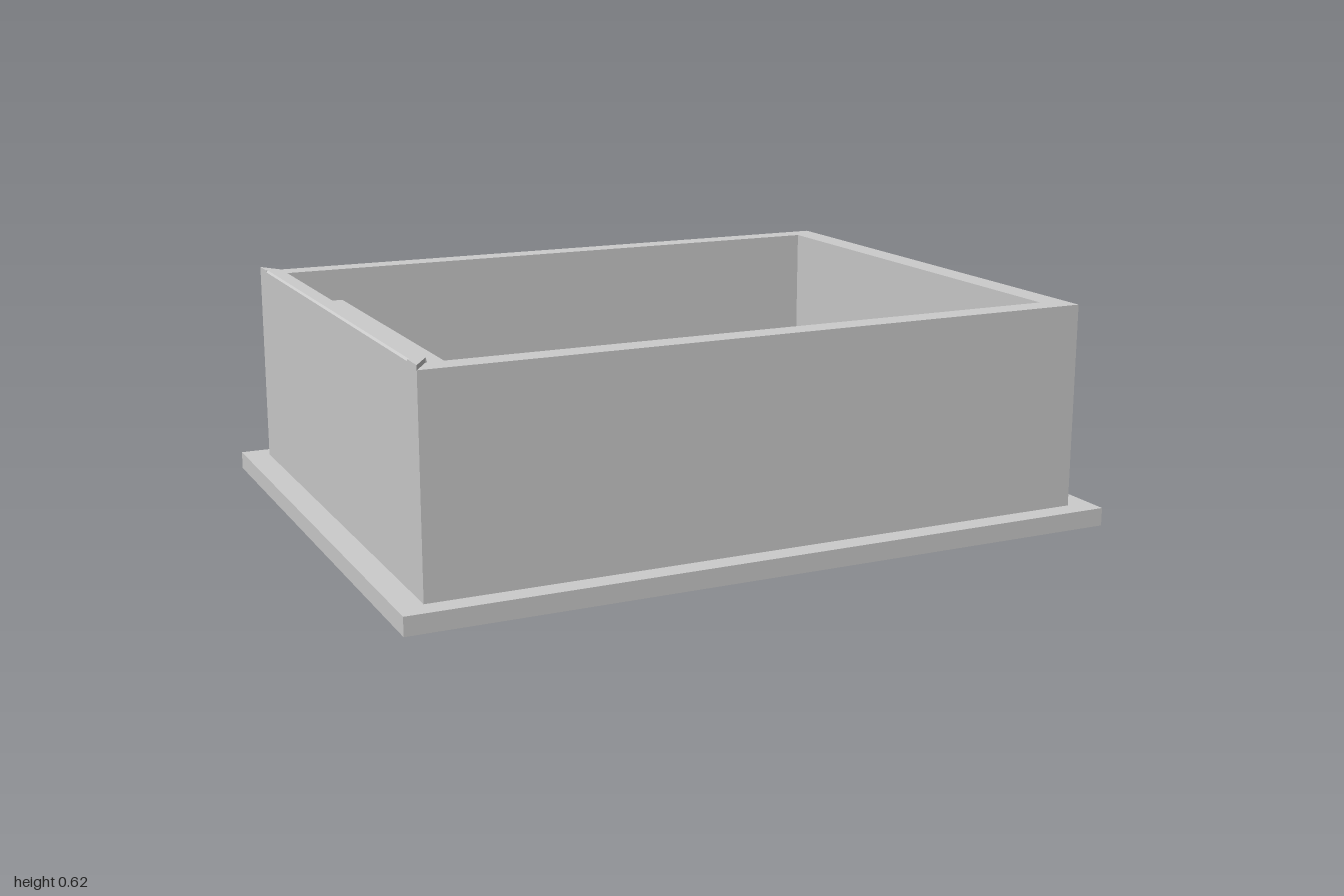
import * as THREE from 'three';

const BASE_TOP = 0.05, RIM = 0.613, LIP = 0.625;
const OUT_X = 0.93, OUT_Z = 0.73, IN_X = 0.855, IN_Z = 0.66;

export function createModel() {
  const group = new THREE.Group();
  const material = new THREE.MeshStandardMaterial({ color: 0xcccccc, flatShading: true });

  function add(name, geometry) {
    const mesh = new THREE.Mesh(geometry, material);
    mesh.name = name;
    group.add(mesh);
  }
  // Box given by its two opposite corners
  function box(name, x0, x1, y0, y1, z0, z1) {
    const g = new THREE.BoxGeometry(x1 - x0, y1 - y0, z1 - z0);
    g.translate((x0 + x1) / 2, (y0 + y1) / 2, (z0 + z1) / 2);
    add(name, g);
  }
  function extrude(points, depth) {
    const shape = new THREE.Shape(points.map(([x, y]) => new THREE.Vector2(x, y)));
    return new THREE.ExtrudeGeometry(shape, { depth, bevelEnabled: false });
  }

  // Base plate, its top also being the tray floor
  box('basePlate', -1, 1, 0, BASE_TOP, -0.79, 0.79);

  // Plain walls
  box('frontWall', -OUT_X, OUT_X, BASE_TOP, RIM, IN_Z, OUT_Z);
  box('backWall', -OUT_X, OUT_X, BASE_TOP, RIM, -OUT_Z, -IN_Z);
  box('sideWall', IN_X, OUT_X, BASE_TOP, RIM, -IN_Z, IN_Z);

  // Side wall with raised lip, sloping inner face and inner shelf
  const profile = [
    [-OUT_X, BASE_TOP], [-IN_X, BASE_TOP], [-IN_X, 0.48], [-0.705, 0.48],
    [-0.7, 0.485], [-0.7, 0.515], [-0.705, 0.52], [-IN_X, 0.52],
    [-0.885, LIP], [-0.925, LIP], [-OUT_X, 0.62],
  ];
  const shelfWall = extrude(profile, 2 * IN_Z);
  shelfWall.translate(0, 0, -IN_Z);
  add('shelfWall', shelfWall);

  // Mitred ends of the raised lip
  for (const s of [1, -1]) {
    const corners = [[-OUT_X, s * IN_Z], [-0.885, s * IN_Z], [-OUT_X, s * OUT_Z]];
    const end = extrude(corners, LIP - RIM);
    end.rotateX(-Math.PI / 2);
    end.translate(0, RIM, 0);
    add('lipEnd', end);
  }
  return group;
}
